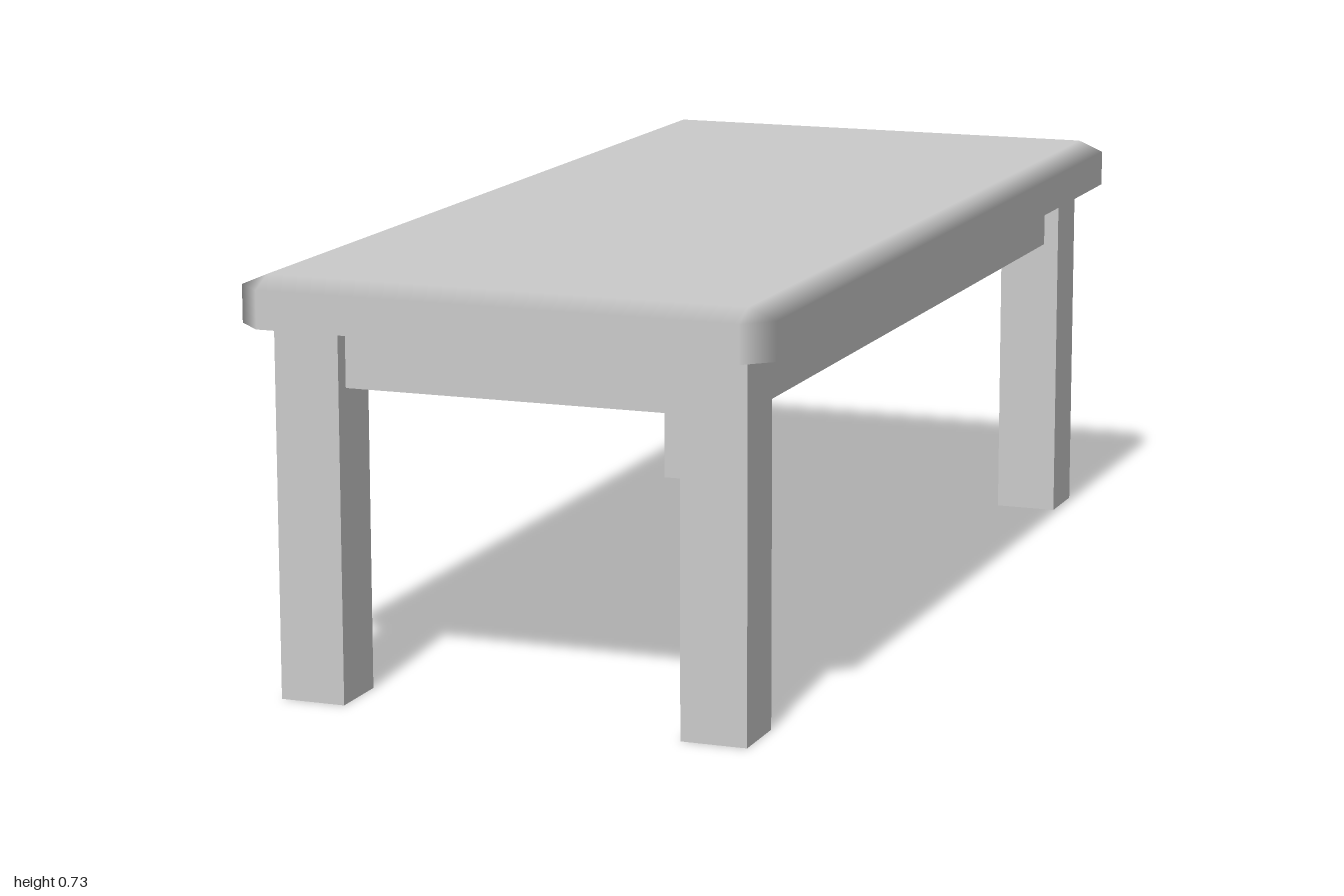
import * as THREE from 'three';

const W = 0.467, L = 1.0;            // half width and half length of the top
const CX = 0.047, CZ = 0.045;        // bevel size across and along
const Y0 = 0.64, Y1 = 0.705, Y2 = 0.725;
const LEG = 0.115, LEG_X = 0.3575, LEG_Z = 0.8875;
const APRON_H = 0.105, INSET = 0.028;

// Slab with cut corners and a softly shaded bevel around the upper edge
function tabletopGeometry() {
  const pos = [], nor = [], idx = [];
  const add = (x, y, z, n) => { pos.push(x, y, z); nor.push(...n); };
  const ix = W - CX, iz = L - CZ;
  // outline, counterclockwise from above; each pair belongs to one side
  const outline = [
    [-ix, L], [ix, L], [W, iz], [W, -iz],
    [ix, -L], [-ix, -L], [-W, -iz], [-W, iz],
  ];
  const sides = [[0, 0, 1], [1, 0, 0], [0, 0, -1], [-1, 0, 0]];
  for (const y of [Y0, Y1]) {
    outline.forEach(([x, z], i) => add(x, y, z, sides[i >> 1]));
  }
  outline.forEach(([x, z]) => add(Math.sign(x) * ix, Y2, Math.sign(z) * iz, [0, 1, 0]));
  outline.forEach(([x, z]) => add(x, Y0, z, [0, -1, 0]));

  for (let i = 0; i < 8; i++) {
    const j = (i + 1) % 8;
    idx.push(i, j, 8 + j, i, 8 + j, 8 + i);                // upright rim
    idx.push(8 + i, 8 + j, 16 + j);                        // bevel
    if (i % 2 === 0) idx.push(8 + i, 16 + j, 16 + i);
  }
  idx.push(16, 17, 19, 16, 19, 21);                        // upper face
  for (let i = 1; i < 7; i++) idx.push(24, 24 + i + 1, 24 + i); // underside

  const g = new THREE.BufferGeometry();
  g.setAttribute('position', new THREE.Float32BufferAttribute(pos, 3));
  g.setAttribute('normal', new THREE.Float32BufferAttribute(nor, 3));
  g.setIndex(idx);
  return g;
}

export function createModel() {
  const table = new THREE.Group();
  table.name = 'table';
  const smooth = new THREE.MeshStandardMaterial({ color: 0xcccccc });
  const flat = new THREE.MeshStandardMaterial({
    color: 0xcccccc, flatShading: true, side: THREE.DoubleSide,
  });
  const part = (name, geometry, material) => {
    const mesh = new THREE.Mesh(geometry, material);
    mesh.name = name;
    table.add(mesh);
    return mesh;
  };

  part('tabletop', tabletopGeometry(), smooth);

  // Square hollow legs, open at the ends
  const r = LEG / Math.SQRT2;
  const legGeometry = new THREE.CylinderGeometry(r, r, Y0, 4, 1, true).rotateY(Math.PI / 4);
  for (const sx of [-1, 1]) {
    for (const sz of [-1, 1]) {
      const name = (sz > 0 ? 'front' : 'back') + (sx > 0 ? 'Left' : 'Right') + 'Leg';
      part(name, legGeometry, flat).position.set(sx * LEG_X, Y0 / 2, sz * LEG_Z);
    }
  }

  // Thin apron panels between the legs, set back from their outer faces
  const endApron = new THREE.PlaneGeometry(2 * LEG_X - LEG, APRON_H);
  const sideApron = new THREE.PlaneGeometry(2 * LEG_Z - LEG, APRON_H);
  const y = Y0 - APRON_H / 2, out = LEG / 2 - INSET;
  for (const s of [1, -1]) {
    const end = part(s > 0 ? 'frontApron' : 'backApron', endApron, flat);
    end.position.set(0, y, s * (LEG_Z + out));
    end.rotation.y = s > 0 ? 0 : Math.PI;
    const side = part(s > 0 ? 'leftApron' : 'rightApron', sideApron, flat);
    side.position.set(s * (LEG_X + out), y, 0);
    side.rotation.y = s * Math.PI / 2;
  }
  return table;
}
